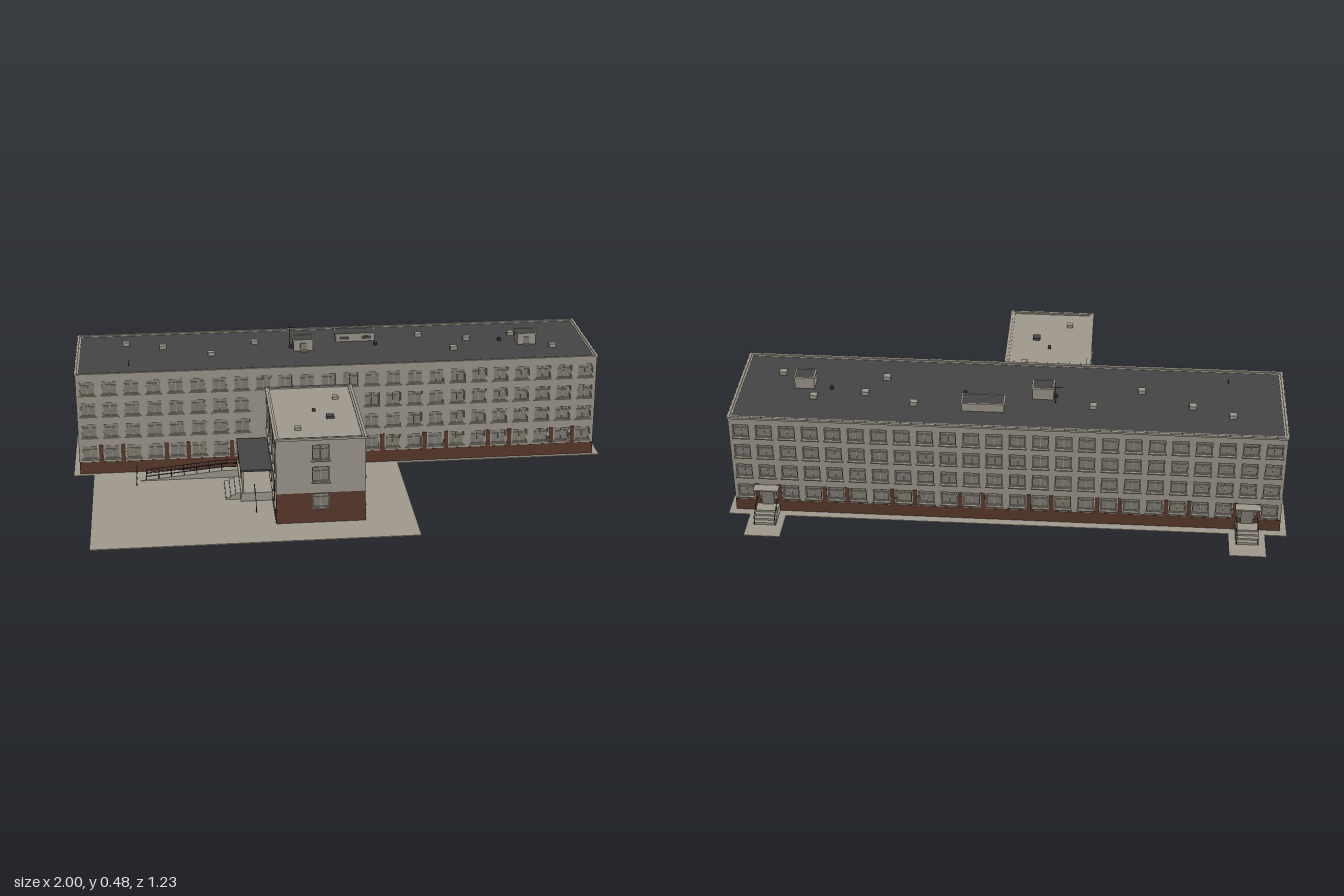
import * as THREE from 'three';
import { mergeGeometries } from 'three/addons/utils/BufferGeometryUtils.js';

const mat = (name, color) => {
  const m = new THREE.MeshStandardMaterial({ color });
  m.name = name;
  return m;
};

export function createModel() {
  const wall = mat('wall grey', 0xa09a8e), brick = mat('brick brown', 0x5b3a2b);
  const roofing = mat('roofing dark', 0x454546), glass = mat('window glass', 0x827f77);
  const trim = mat('window trim', 0x9a958a), metal = mat('dark metal', 0x363634);
  const floorBrown = mat('floor brown', 0x80523c);
  const root = new THREE.Group();
  root.name = 'building';

  // Box geometry given by its limits
  const boxGeo = (x0, x1, y0, y1, z0, z1) =>
    new THREE.BoxGeometry(x1 - x0, y1 - y0, z1 - z0)
      .translate((x0 + x1) / 2, (y0 + y1) / 2, (z0 + z1) / 2);
  const add = (name, geos, material, parent = root) => {
    const list = [].concat(geos);
    const mesh = new THREE.Mesh(list.length > 1 ? mergeGeometries(list) : list[0], material);
    mesh.name = name;
    parent.add(mesh);
    return mesh;
  };
  const box = (name, m, ...limits) => add(name, boxGeo(...limits), m);
  // Thin rod between two points
  const rod = (a, b, r = 0.0013) => {
    const p = new THREE.Vector3(...a), q = new THREE.Vector3(...b);
    const d = q.clone().sub(p);
    const g = new THREE.CylinderGeometry(r, r, d.length(), 5);
    g.applyQuaternion(new THREE.Quaternion().setFromUnitVectors(new THREE.Vector3(0, 1, 0), d.normalize()));
    return g.translate(...p.add(q).multiplyScalar(0.5).toArray());
  };
  const rect = (path, a, b, c, d) => path.moveTo(a, c).lineTo(b, c).lineTo(b, d).lineTo(a, d).closePath();
  // Ring of four boxes
  const rim = (name, m, x0, x1, y0, y1, z0, z1, t) => add(name, [
    boxGeo(x0, x1, y0, y1, z0, z0 + t), boxGeo(x0, x1, y0, y1, z1 - t, z1),
    boxGeo(x0, x0 + t, y0, y1, z0 + t, z1 - t), boxGeo(x1 - t, x1, y0, y1, z0 + t, z1 - t),
  ], m);

  // Frame bars, mullions and sill of one window [u, v, w, h, columns, rows]
  const windowBars = ([u, v, w, h, cols, rows]) => {
    const x0 = u - w / 2, x1 = u + w / 2, y0 = v - h / 2, y1 = v + h / 2, t = 0.003;
    const bars = [
      boxGeo(x0, x0 + t, y0, y1, -0.011, -0.005), boxGeo(x1 - t, x1, y0, y1, -0.011, -0.005),
      boxGeo(x0, x1, y0, y0 + t, -0.011, -0.005), boxGeo(x0, x1, y1 - t, y1, -0.011, -0.005),
      boxGeo(x0 - 0.004, x1 + 0.004, y0 - 0.004, y0, -0.008, 0.005),
    ];
    for (let i = 1; i < cols; i++) {
      const x = x0 + (w * i) / cols;
      bars.push(boxGeo(x - t / 2, x + t / 2, y0, y1, -0.011, -0.006));
    }
    for (let j = 1; j < rows; j++) {
      const y = rows === 2 ? y0 + h * 0.68 : y0 + (h * j) / rows;
      bars.push(boxGeo(x0, x1, y - t / 2, y + t / 2, -0.011, -0.006));
    }
    return bars;
  };

  // Wall with window openings, facing local +z
  function wallPanel(name, width, y0, y1, windows, material, pos, turn, piers = []) {
    const g = new THREE.Group();
    g.name = name;
    g.position.set(pos[0], 0, pos[1]);
    g.rotation.y = turn;
    root.add(g);
    const shape = rect(new THREE.Shape(), -width / 2, width / 2, y0, y1);
    for (const [u, v, w, h] of windows)
      shape.holes.push(rect(new THREE.Path(), u - w / 2, u + w / 2, v - h / 2, v + h / 2));
    add('wallFace', new THREE.ExtrudeGeometry(shape, { depth: 0.012, bevelEnabled: false }).translate(0, 0, -0.012), material, g);
    add('windowGlass', new THREE.PlaneGeometry(width - 0.03, y1 - y0 - 0.004).translate(0, (y0 + y1) / 2, -0.01), glass, g);
    add('windowFrames', windows.flatMap(windowBars), trim, g);
    if (piers.length)
      add('brickPiers', piers.map((u) => boxGeo(u - 0.008, u + 0.008, 0.05, 0.118, -0.001, 0.002)), brick, g);
  }

  // Flat paving with openings under the rooms
  const paving = (name, outline, hole) => {
    const shape = rect(new THREE.Shape(), ...outline);
    shape.holes.push(new THREE.Path(hole.map((p) => new THREE.Vector2(...p))));
    add(name, new THREE.ExtrudeGeometry(shape, { depth: 0.004, bevelEnabled: false })
      .rotateX(Math.PI / 2).translate(0, 0.004, 0), wall);
  };
  paving('sidewalk', [-1, 1, -0.49, -0.02], [[-0.963, -0.448], [0.963, -0.448], [0.963, -0.047], [-0.963, -0.047]]);
  paving('plaza', [-0.925, 0.22, -0.02, 0.61],
    [[-0.05, 0.05], [0.029, 0.05], [0.029, 0.457], [-0.264, 0.457], [-0.264, 0.3], [-0.05, 0.3]]);
  for (const s of [-1, 1]) box('rearPad', wall, s * 0.857 - 0.065, s * 0.857 + 0.065, 0, 0.004, -0.615, -0.49);

  // Raised floors with foundation walls below
  box('mainFloor', floorBrown, -0.965, 0.965, 0.038, 0.046, -0.45, -0.045);
  box('wingFloor', floorBrown, -0.266, 0.031, 0.038, 0.046, -0.03, 0.459);
  box('corridorFloor', wall, -0.963, 0.963, 0.001, 0.005, -0.275, -0.215);
  box('lobbyFloor', wall, -0.25, -0.05, 0.001, 0.005, -0.215, -0.046);
  const footings = [boxGeo(-0.055, -0.05, 0.004, 0.038, 0.05, 0.3), boxGeo(-0.264, -0.05, 0.004, 0.038, 0.295, 0.3),
    boxGeo(-0.05, 0.029, 0.004, 0.038, 0.045, 0.05), boxGeo(-0.1, -0.095, 0.002, 0.038, 0.3, 0.457)];
  for (let i = 1; i < 12; i++) {
    const x = -0.975 + i * 0.1625;
    footings.push(boxGeo(x - 0.003, x + 0.003, 0.002, 0.038, -0.448, -0.275));
    if (x < -0.25 || x > -0.05) footings.push(boxGeo(x - 0.003, x + 0.003, 0.002, 0.038, -0.215, -0.047));
  }
  add('foundationWalls', footings, brick);

  // Main block
  const levels = [0.087, 0.174, 0.259, 0.343];
  const step = 1.95 / 24;
  const column = (i) => -0.975 + step * (i + 0.5);
  const longWindows = (keep) => {
    const list = [];
    for (let i = 0; i < 24; i++)
      levels.forEach((v, f) => { if (keep(column(i), f)) list.push([column(i), v, 0.056, 0.054, 2, 2]); });
    return list;
  };
  const pierList = Array.from({ length: 23 }, (_, i) => i).filter((i) => i % 3 !== 2).map((i) => column(i) + step / 2);
  const behindWing = (x) => x > -0.31 && x < 0.07;
  wallPanel('frontWall', 1.95, 0.05, 0.4, longWindows((x, f) => f === 3 || !behindWing(x)), wall, [0, -0.035], 0,
    pierList.filter((x) => !behindWing(x)));
  wallPanel('backWall', 1.95, 0.05, 0.4, longWindows(() => true), wall, [0, -0.46], Math.PI, pierList);
  rim('mainPlinth', brick, -0.975, 0.975, 0.003, 0.05, -0.461, -0.034, 0.012);
  for (const s of [-1, 1]) {
    const at = [s * 0.976, -0.2475], turn = s * Math.PI / 2;
    wallPanel('endWallLower', 0.424, 0.004, 0.118, [[0, levels[0], 0.06, 0.056, 2, 2]], brick, at, turn);
    wallPanel('endWallUpper', 0.424, 0.118, 0.4, levels.slice(1).map((v) => [0, v, 0.06, 0.058, 2, 2]), wall, at, turn);
  }

  // Roofs with parapets
  box('mainRoof', roofing, -0.972, 0.972, 0.385, 0.399, -0.457, -0.038);
  rim('mainParapet', wall, -0.98, 0.98, 0.396, 0.403, -0.466, -0.03, 0.01);
  box('wingRoof', wall, -0.272, 0.037, 0.31, 0.322, -0.034, 0.467);
  rim('wingParapet', wall, -0.28, 0.045, 0.319, 0.327, -0.028, 0.476, 0.01);

  // Parapet rail posts
  const posts = [];
  for (let i = 0; i <= 48; i++)
    for (const z of [-0.464, -0.032]) posts.push(rod([-0.978 + i * 0.04075, 0.402, z], [-0.978 + i * 0.04075, 0.409, z], 0.001));
  for (let i = 1; i < 11; i++)
    for (const x of [-0.978, 0.978]) posts.push(rod([x, 0.402, -0.464 + i * 0.0393], [x, 0.409, -0.464 + i * 0.0393], 0.001));
  add('parapetPosts', posts, metal);

  // Rooftop cabins with dark tops inside a grey edge
  for (const [x, z, w, d, top] of [[-0.12, -0.24, 0.075, 0.06, 0.445], [0.0875, -0.33, 0.15, 0.065, 0.432], [0.737, -0.225, 0.07, 0.06, 0.445]]) {
    const [x0, x1, z0, z1] = [x - w / 2, x + w / 2, z - d / 2, z + d / 2];
    box('roofCabin', wall, x0, x1, 0.398, top - 0.005, z0, z1);
    rim('cabinEdge', wall, x0 - 0.003, x1 + 0.003, top - 0.006, top, z0 - 0.003, z1 + 0.003, 0.005);
    box('cabinTop', roofing, x0 + 0.001, x1 - 0.001, top - 0.006, top - 0.002, z0 + 0.001, z1 - 0.001);
  }
  for (const x of [0.045, 0.13]) box('cabinLouver', roofing, x - 0.018, x + 0.018, 0.408, 0.42, -0.2985, -0.296);
  for (const [x, z] of [[-0.12, -0.21], [0.737, -0.195]]) {
    box('cabinDoor', glass, x - 0.012, x + 0.012, 0.399, 0.43, z - 0.001, z + 0.002);
    box('cabinDoorstep', wall, x - 0.014, x + 0.014, 0.398, 0.403, z, z + 0.012);
  }

  // Small vents
  const vents = [[-0.79, -0.34], [-0.65, -0.29], [-0.47, -0.2], [-0.3, -0.31], [0.335, -0.33], [0.515, -0.275], [0.45, -0.17], [0.695, -0.31], [0.83, -0.16]];
  for (const [x, z] of vents) box('roofVent', wall, x - 0.013, x + 0.013, 0.398, 0.413, z - 0.012, z + 0.012);
  for (const [x, z] of [[-0.03, 0.095], [-0.19, 0.375]]) box('wingVent', wall, x - 0.011, x + 0.011, 0.321, 0.332, z - 0.011, z + 0.011);
  box('wingHatch', roofing, -0.08, -0.052, 0.321, 0.331, 0.262, 0.29);
  box('wingPipe', roofing, -0.125, -0.113, 0.321, 0.33, 0.203, 0.217);
  for (const [x, z] of [[-0.165, -0.25], [0.16, -0.25], [0.64, -0.25]]) box('roofPipe', metal, x - 0.006, x + 0.006, 0.398, 0.41, z - 0.006, z + 0.006);
  add('antennas', [
    rod([-0.165, 0.398, -0.29], [-0.165, 0.485, -0.29], 0.001), rod([-0.19, 0.465, -0.29], [-0.145, 0.465, -0.29], 0.001),
    rod([-0.78, 0.398, -0.12], [-0.78, 0.42, -0.12]),
  ], metal);

  // Front wing
  const bays = [0.425, 0.342, 0.26, 0.176, 0.092, 0.01];
  for (const s of [-1, 1]) {
    const us = bays.map((z) => s * (0.2175 - z)); // along the wall, measured from its middle
    const windows = us.flatMap((u) => [[u, 0.086, 0.06, 0.056, 2, 2], [u, 0.228, 0.06, 0.125, 3, 3]]);
    const piers = [0, 2, 4].map((i) => (us[i] + us[i + 1]) / 2);
    wallPanel('wingSideWall', 0.505, 0.05, 0.325, windows, wall, [s > 0 ? 0.04 : -0.275, 0.2175], s * Math.PI / 2, piers);
  }
  wallPanel('wingFrontLower', 0.313, 0.004, 0.118, [[0, 0.087, 0.06, 0.056, 2, 2]], brick, [-0.1175, 0.471], 0);
  wallPanel('wingFrontUpper', 0.313, 0.118, 0.325, [[0, 0.187, 0.06, 0.058, 2, 2], [0, 0.27, 0.06, 0.058, 2, 2]], wall, [-0.1175, 0.471], 0);
  rim('wingPlinth', brick, -0.276, 0.041, 0.003, 0.05, -0.034, 0.469, 0.012);

  // Entrance terrace, canopy, steps and ramp
  box('terrace', wall, -0.39, -0.276, 0.003, 0.036, -0.034, 0.27);
  box('canopy', roofing, -0.39, -0.276, 0.119, 0.126, -0.025, 0.27);
  for (let i = 0; i < 3; i++)
    box('sideStep', wall, -0.39 - 0.018 * (i + 1), -0.39 - 0.018 * i, 0.003, 0.029 - i * 0.008, 0.1, 0.25);
  add('canopyPosts', [0.0, 0.13, 0.262].map((z) => rod([-0.382, 0.034, z], [-0.382, 0.12, z], 0.004)), wall);
  const slope = new THREE.Shape([[-0.77, 0.003], [-0.39, 0.003], [-0.39, 0.032], [-0.45, 0.032]].map((p) => new THREE.Vector2(...p)));
  add('ramp', new THREE.ExtrudeGeometry(slope, { depth: 0.04, bevelEnabled: false }).translate(0, 0, 0.012), wall);
  const rails = [];
  for (const z of [0.014, 0.05]) {
    for (const h of [0.014, 0.026]) rails.push(rod([-0.73, 0.006 + h, z], [-0.45, 0.032 + h, z]), rod([-0.45, 0.032 + h, z], [-0.39, 0.032 + h, z]));
    for (let i = 0; i <= 6; i++) rails.push(rod([-0.73 + i * 0.0467, 0.005 + i * 0.004, z], [-0.73 + i * 0.0467, 0.032 + i * 0.0043, z]));
  }
  for (const y of [0.02, 0.034]) rails.push(rod([-0.765, y, -0.02], [-0.765, y, 0.09]));
  for (const z of [-0.02, 0.035, 0.09]) rails.push(rod([-0.765, 0.003, z], [-0.765, 0.034, z]));
  rails.push(rod([-0.34, 0.07, 0.27], [-0.34, 0.04, 0.37]), rod([-0.34, 0.003, 0.37], [-0.34, 0.04, 0.37]), rod([-0.34, 0.036, 0.27], [-0.34, 0.07, 0.27]));
  add('entranceRails', rails, metal);

  // Rear porches
  for (const s of [-1, 1]) {
    const x = s * 0.857, bars = [];
    box('porchLanding', wall, x - 0.04, x + 0.04, 0.003, 0.034, -0.505, -0.461);
    for (let i = 0; i < 3; i++) box('porchStep', wall, x - 0.04, x + 0.04, 0.003, 0.027 - i * 0.007, -0.52 - i * 0.015, -0.505 - i * 0.015);
    box('porchCanopy', wall, x - 0.045, x + 0.045, 0.11, 0.115, -0.497, -0.461);
    box('porchDoor', glass, x - 0.022, x + 0.022, 0.034, 0.1, -0.466, -0.461);
    for (const dx of [-0.037, 0.037])
      bars.push(rod([x + dx, 0.06, -0.463], [x + dx, 0.06, -0.505]), rod([x + dx, 0.06, -0.505], [x + dx, 0.036, -0.55]),
        rod([x + dx, 0.034, -0.505], [x + dx, 0.06, -0.505]), rod([x + dx, 0.003, -0.55], [x + dx, 0.036, -0.55]));
    add('porchRails', bars, metal);
  }
  return root;
}
